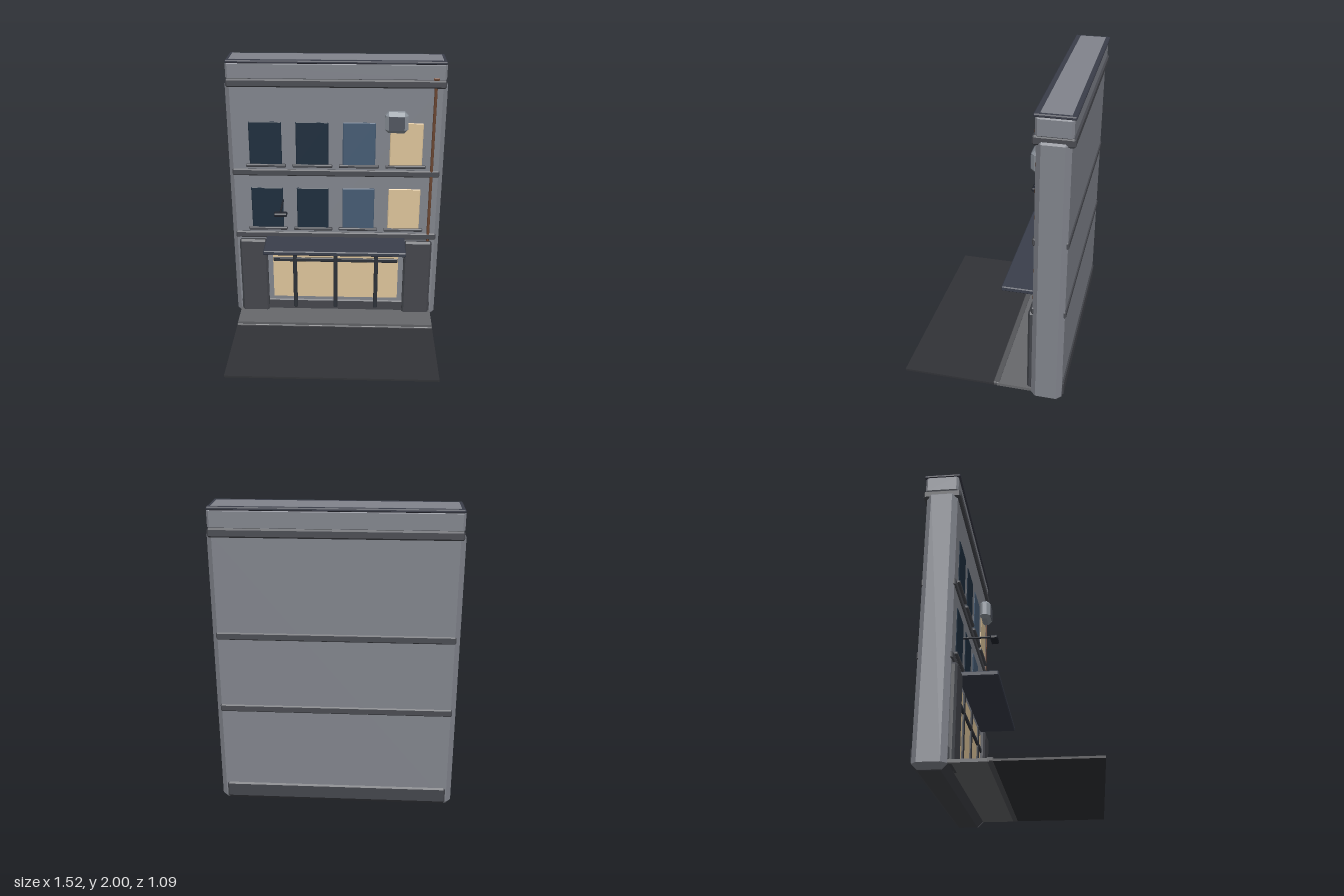
import * as THREE from 'three';
import { ConvexGeometry } from 'three/addons/geometries/ConvexGeometry.js';

const C = {
  wall: 0x81848c, trim: 0x4a4c52, stone: 0x44464c, cap: 0x3a3d49, frame: 0x2d3138,
  dark: 0x1d2d3d, blue: 0x455b73, lit: 0xdcc39a, awning: 0x3a3f4c, walk: 0x68696c,
  curb: 0x55565a, road: 0x323337, pipe: 0x6b4632, metal: 0x8d949c, grille: 0x50555f, lamp: 0x22262f,
};

// Box between two corners with every edge chamfered by c
function chamferGeometry([x0, y0, z0], [x1, y1, z1], c) {
  const half = new THREE.Vector3(x1 - x0, y1 - y0, z1 - z0).multiplyScalar(0.5);
  const points = [];
  for (const sx of [-1, 1]) for (const sy of [-1, 1]) for (const sz of [-1, 1]) {
    for (let axis = 0; axis < 3; axis++) {
      const p = half.clone().subScalar(c);
      p.setComponent(axis, half.getComponent(axis));
      points.push(p.multiply(new THREE.Vector3(sx, sy, sz)));
    }
  }
  return new ConvexGeometry(points);
}

export function createModel() {
  const group = new THREE.Group();
  const materials = {};
  const material = (color) => (materials[color] ??= new THREE.MeshStandardMaterial({ color, flatShading: true }));

  function add(name, geometry, color, x, y, z) {
    const mesh = new THREE.Mesh(geometry, material(color));
    mesh.name = name;
    mesh.position.set(x, y, z);
    group.add(mesh);
    return mesh;
  }
  // Box given by its x, y and z ranges, with an optional chamfer
  function block(name, color, [x0, x1], [y0, y1], [z0, z1], c = 0) {
    const geometry = c
      ? chamferGeometry([x0, y0, z0], [x1, y1, z1], c)
      : new THREE.BoxGeometry(x1 - x0, y1 - y0, z1 - z0);
    return add(name, geometry, color, (x0 + x1) / 2, (y0 + y1) / 2, (z0 + z1) / 2);
  }

  // Main wall, base and floor bands
  block('wall', C.wall, [-0.762, 0.762], [0.005, 1.86], [-0.524, -0.322], 0.033);
  block('plinth', C.stone, [-0.757, 0.757], [0, 0.177], [-0.534, -0.314], 0.045);
  for (const y of [0.67, 1.165]) {
    block('floorBand', C.trim, [-0.737, 0.737], [y, y + 0.05], [-0.531, -0.312], 0.008);
  }

  // Cornice, parapet and roof cap
  block('cornice', C.trim, [-0.75, 0.75], [1.815, 1.872], [-0.545, -0.302], 0.01);
  block('parapet', C.wall, [-0.75, 0.75], [1.86, 1.985], [-0.534, -0.318], 0.014);
  block('roofCap', C.cap, [-0.747, 0.747], [1.977, 1.998], [-0.545, -0.307], 0.006);
  block('roofSurface', C.wall, [-0.724, 0.724], [1.99, 2], [-0.517, -0.343]);

  // Upper windows with sills
  const glass = [C.dark, C.dark, C.blue, C.lit];
  for (const y of [0.755, 1.25]) {
    glass.forEach((color, i) => {
      const x = -0.495 + i * 0.33;
      block('window', color, [x - 0.115, x + 0.115], [y, y + 0.317], [-0.34, -0.316], 0.005);
      block('windowSill', C.trim, [x - 0.142, x + 0.142], [y - 0.016, y + 0.006], [-0.335, -0.303], 0.005);
    });
  }

  // Shop front
  block('shopWindow', C.lit, [-0.47, 0.47], [0.168, 0.61], [-0.34, -0.316]);
  for (const x of [-0.305, 0, 0.305]) {
    block('mullion', C.frame, [x - 0.015, x + 0.015], [0.08, 0.612], [-0.33, -0.302], 0.005);
  }
  block('transom', C.frame, [-0.466, 0.466], [0.475, 0.507], [-0.33, -0.304], 0.005);
  for (const side of [-1, 1]) {
    const edges = [side * 0.508, side * 0.712].sort((a, b) => a - b);
    block('pilaster', C.stone, edges, [0.04, 0.66], [-0.345, -0.288], 0.014);
  }
  block('awning', C.awning, [-0.51, 0.51], [0.65, 0.683], [-0.325, -0.07], 0.006);

  // Pavement, curb and road
  block('sidewalk', C.walk, [-0.727, 0.727], [0.04, 0.06], [-0.33, -0.09]);
  block('curb', C.curb, [-0.727, 0.727], [0.04, 0.066], [-0.105, -0.067], 0.004);
  block('road', C.road, [-0.727, 0.727], [0.042, 0.055], [-0.07, 0.547]);

  // Drain pipe with a small collector at the top
  add('drainPipe', new THREE.CylinderGeometry(0.011, 0.011, 1.81, 8), C.pipe, 0.68, 0.965, -0.323);
  block('pipeCollector', C.pipe, [0.66, 0.7], [1.868, 1.888], [-0.335, -0.308], 0.004);

  // Air conditioner
  block('airConditioner', C.metal, [0.34, 0.5], [1.51, 1.66], [-0.33, -0.247], 0.026);
  block('airConditionerGrille', C.grille, [0.366, 0.474], [1.537, 1.633], [-0.27, -0.244]);

  // Wall lamp on an arm
  const arm = add('lampArm', new THREE.CylinderGeometry(0.007, 0.007, 0.22, 8), C.lamp, -0.38, 0.973, -0.215);
  arm.rotation.x = Math.PI / 2;
  block('lampHead', C.lamp, [-0.426, -0.334], [0.942, 0.97], [-0.138, -0.09], 0.007);

  return group;
}
